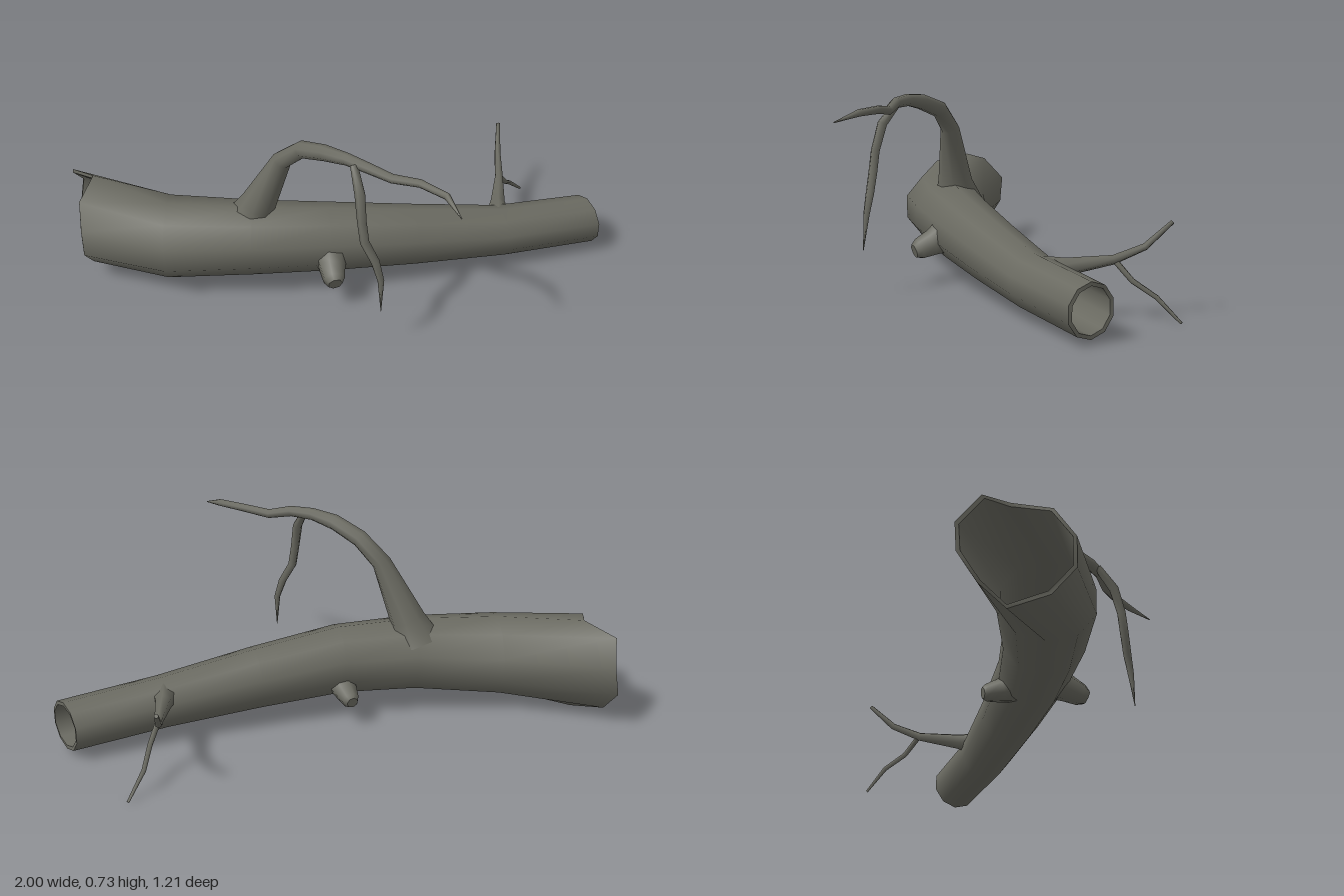
import * as THREE from 'three';
import { mergeGeometries } from 'three/addons/utils/BufferGeometryUtils.js';

// Skin a list of rings (each turning counter-clockwise about the sweep direction)
function loft(rings) {
  const n = rings[0].length, pos = [], idx = [];
  rings.forEach(r => r.forEach(p => pos.push(p.x, p.y, p.z)));
  for (let i = 0; i < rings.length - 1; i++) {
    for (let k = 0; k < n; k++) {
      const a = i * n + k, b = i * n + (k + 1) % n;
      idx.push(a, b, a + n, b, b + n, a + n);
    }
  }
  const g = new THREE.BufferGeometry();
  g.setAttribute('position', new THREE.Float32BufferAttribute(pos, 3));
  g.setIndex(idx);
  g.computeVertexNormals();
  return g;
}

// Tapered limb through points [x, y, z, radius], closed at the tip
function limb(points, sides) {
  const c = points.map(p => new THREE.Vector3(p[0], p[1], p[2]));
  const normal = new THREE.Vector3(0.31, 0.2, 0.93);
  const rings = c.map((p, i) => {
    const t = c[Math.min(i + 1, c.length - 1)].clone().sub(c[Math.max(i - 1, 0)]).normalize();
    if (i === 0 && Math.abs(normal.dot(t)) > 0.8) normal.set(1, 0, 0);
    normal.addScaledVector(t, -normal.dot(t)).normalize();
    const side = t.clone().cross(normal);
    return Array.from({ length: sides }, (_, k) => {
      const a = k / sides * Math.PI * 2, r = points[i][3];
      return p.clone().addScaledVector(normal, r * Math.cos(a)).addScaledVector(side, r * Math.sin(a));
    });
  });
  const last = rings[rings.length - 1];
  const tip = last.map(() => c[c.length - 1].clone());
  return mergeGeometries([loft(rings), loft([last, tip])]);
}

// Log cross-sections: centre x, y, z, half height, half depth, slant in x
const SIDES = 10;
const LOG = [
  [-0.96, 0.205, -0.415, 0.178, 0.2, 0],
  [-0.67, 0.198, -0.2, 0.153, 0.165, -0.05],
  [-0.36, 0.21, -0.092, 0.14, 0.145, -0.04],
  [-0.08, 0.205, -0.03, 0.132, 0.133, -0.02],
  [0.25, 0.173, 0.0, 0.117, 0.118, -0.01],
  [0.61, 0.135, 0.018, 0.098, 0.102, 0],
  [0.98, 0.115, 0.006, 0.095, 0.097, 0.02],
];
// Broken rim of the thick end, as x from the top round by the front
const JAGGED = [-0.92, -0.99, -1, -1, -0.965, -0.89, -0.96, -0.97, -0.95, -0.99];

function logRings(wall) {
  return LOG.map(([x, y, z, h, d, slant], i) => Array.from({ length: SIDES }, (_, k) => {
    const a = k / SIDES * Math.PI * 2;
    return new THREE.Vector3(
      i === 0 ? JAGGED[k] : x + slant * Math.sin(a),
      y + (h - wall) * Math.cos(a),
      z + (d - wall) * Math.sin(a));
  }));
}

export function createModel() {
  const group = new THREE.Group();
  const bark = new THREE.MeshStandardMaterial({ color: 0x6a6a61 });
  bark.name = 'greyBark';
  const add = (name, geometry) => {
    const m = new THREE.Mesh(geometry, bark);
    m.name = name;
    group.add(m);
  };

  // Hollow log: outside, inside and the two rims
  const outer = logRings(0), inner = logRings(0.014), end = LOG.length - 1;
  add('logBark', loft(outer));
  add('logHollow', loft([...inner].reverse()));
  add('thickEndRim', loft([inner[0], outer[0]]));
  add('thinEndRim', loft([outer[end], inner[end]]));

  // Tall arching branch
  add('archingBranch', limb([
    [-0.36, 0.27, -0.125, 0.1], [-0.335, 0.36, -0.1, 0.068], [-0.25, 0.58, -0.04, 0.037],
    [-0.19, 0.66, 0.03, 0.033], [-0.13, 0.698, 0.13, 0.03], [-0.07, 0.712, 0.21, 0.023],
    [-0.01, 0.708, 0.28, 0.02], [0.06, 0.688, 0.335, 0.017], [0.14, 0.7, 0.405, 0.015],
    [0.205, 0.698, 0.5, 0.013], [0.225, 0.67, 0.6, 0.002],
  ], 8));

  // Twig hanging from the arch
  add('hangingTwig', limb([
    [-0.055, 0.71, 0.25, 0.014], [-0.052, 0.63, 0.318, 0.019], [-0.052, 0.53, 0.347, 0.017],
    [-0.045, 0.45, 0.36, 0.017], [-0.012, 0.375, 0.385, 0.016], [0.004, 0.3, 0.405, 0.012],
    [0.002, 0.17, 0.417, 0.001],
  ], 6));

  // Snapped stubs on both flanks
  add('frontStub', limb([
    [-0.09, 0.18, 0.05, 0.07], [-0.1, 0.155, 0.1, 0.052], [-0.105, 0.135, 0.15, 0.042],
    [-0.105, 0.128, 0.172, 0.028],
  ], 7));
  add('backStub', limb([
    [-0.06, 0.15, -0.09, 0.062], [-0.06, 0.125, -0.15, 0.045], [-0.06, 0.11, -0.2, 0.033],
    [-0.06, 0.107, -0.216, 0.022],
  ], 7));

  // Forked twig at the thin end
  add('forkedTwig', limb([
    [0.61, 0.175, -0.02, 0.05], [0.635, 0.185, -0.09, 0.032], [0.695, 0.208, -0.24, 0.017],
    [0.725, 0.25, -0.345, 0.013], [0.755, 0.335, -0.435, 0.008],
  ], 6));
  add('forkedTwigOffshoot', limb([
    [0.695, 0.21, -0.24, 0.011], [0.745, 0.14, -0.285, 0.01], [0.79, 0.085, -0.355, 0.009],
    [0.865, 0.006, -0.408, 0.005],
  ], 5));

  return group;
}
